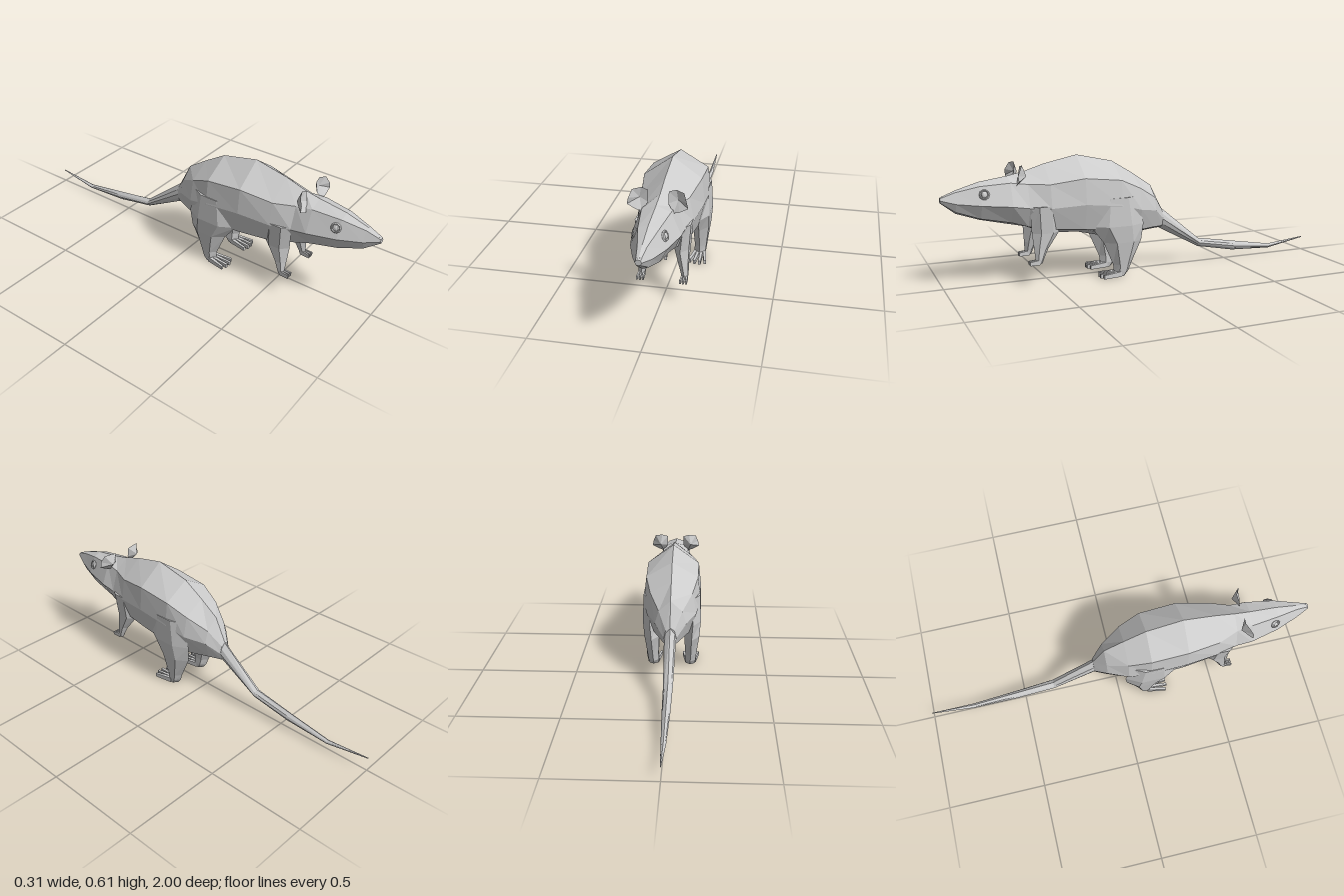
import * as THREE from 'three';

const material = new THREE.MeshStandardMaterial({ color: 0xcccccc, flatShading: true });

function addMesh(parent, geometry, name) {
  const mesh = new THREE.Mesh(geometry, material);
  mesh.name = name;
  parent.add(mesh);
  return mesh;
}

function facetGeometry(points, index) {
  const g = new THREE.BufferGeometry();
  g.setAttribute('position', new THREE.Float32BufferAttribute(points.flat(), 3));
  g.setIndex(index);
  const flat = g.toNonIndexed();
  flat.computeVertexNormals();
  return flat;
}

// Skin over rings of points, each ring running clockwise seen from the first end; both ends capped
function loft(rings) {
  const n = rings[0].length, last = (rings.length - 1) * n, index = [];
  for (let i = 0; i < rings.length - 1; i++) {
    for (let j = 0; j < n; j++) {
      const k = (j + 1) % n, a = i * n + j, b = i * n + k;
      index.push(a, b, b + n, a, b + n, a + n);
    }
  }
  for (let j = 1; j < n - 1; j++) index.push(0, j + 1, j, last, last + j, last + j + 1);
  return facetGeometry(rings.flat(), index);
}

// Symmetric body section: ridge height, three side points, underside height
function bodyRing([z, top, xa, ya, xb, yb, xc, yc, bottom]) {
  const side = [[xa, ya, z], [xb, yb, z], [xc, yc, z]];
  const other = side.map(([x, y]) => [-x, y, z]).reverse();
  return [[0, top, z], ...side, [0, bottom, z], ...other];
}

// Six-sided leg section from its extents in x and z
function legRing([y, x0, x1, z0, z1], s) {
  const m = (x0 + x1) / 2, za = z0 + (z1 - z0) * 0.28, zb = z0 + (z1 - z0) * 0.72;
  const ring = [[m, z0], [x1, za], [x1, zb], [m, z1], [x0, zb], [x0, za]].map(([x, z]) => [s * x, y, z]);
  return s > 0 ? ring : ring.reverse();
}

const leg = (rows, s) => loft(rows.map((r) => legRing(r, s)));

// Tapered toe running forward from its heel point, fanned out by an angle
function addToe(parent, s, x, y, z, length, width, height, angle) {
  const g = new THREE.BoxGeometry(width, height, length);
  g.translate(0, height / 2, length / 2);
  const p = g.attributes.position;
  for (let i = 0; i < p.count; i++) {
    if (p.getZ(i) > length / 2) {
      p.setX(i, p.getX(i) * 0.75);
      p.setY(i, p.getY(i) * 0.75);
    }
  }
  g.computeVertexNormals();
  const toe = addMesh(parent, g, 'toe');
  toe.position.set(s * x, y, z);
  toe.rotation.y = s * angle;
}

function makeEar(s) {
  // Rim of the cup, then its hollow and its back
  const rim = [
    [0.07, 0.478, 0.655], [0.044, 0.515, 0.64], [0.045, 0.568, 0.632], [0.077, 0.577, 0.628],
    [0.114, 0.57, 0.643], [0.128, 0.535, 0.66], [0.134, 0.506, 0.658], [0.095, 0.485, 0.66],
  ];
  const points = [...rim, [0.085, 0.53, 0.628], [0.086, 0.525, 0.61]].map(([x, y, z]) => [s * x, y, z]);
  const index = [];
  for (let j = 0; j < 8; j++) {
    const k = (j + 1) % 8;
    if (s > 0) index.push(8, k, j, 9, j, k);
    else index.push(8, j, k, 9, k, j);
  }
  return facetGeometry(points, index);
}

export function createModel() {
  const model = new THREE.Group();
  model.name = 'rodent';

  // Head and trunk, muzzle to rump
  const trunk = [
    [0.998, 0.438, 0.01, 0.435, 0.014, 0.425, 0.009, 0.414, 0.412],
    [0.93, 0.466, 0.02, 0.46, 0.042, 0.408, 0.025, 0.368, 0.358],
    [0.82, 0.5, 0.045, 0.485, 0.08, 0.398, 0.045, 0.332, 0.32],
    [0.68, 0.521, 0.065, 0.495, 0.109, 0.388, 0.058, 0.305, 0.288],
    [0.6, 0.538, 0.072, 0.485, 0.108, 0.375, 0.065, 0.28, 0.27],
    [0.5, 0.57, 0.11, 0.482, 0.13, 0.37, 0.1, 0.265, 0.23],
    [0.335, 0.605, 0.137, 0.505, 0.15, 0.38, 0.118, 0.255, 0.22],
    [0.15, 0.565, 0.135, 0.485, 0.15, 0.36, 0.12, 0.235, 0.175],
    [0.04, 0.498, 0.108, 0.435, 0.13, 0.33, 0.09, 0.22, 0.19],
    [-0.06, 0.43, 0.06, 0.375, 0.08, 0.31, 0.05, 0.22, 0.2],
    [-0.12, 0.31, 0.022, 0.295, 0.032, 0.255, 0.02, 0.215, 0.205],
  ];
  addMesh(model, loft(trunk.map(bodyRing)), 'body');

  // Tail: z, top, bottom, half width
  const tail = [
    [-0.11, 0.315, 0.203, 0.031], [-0.34, 0.125, 0.08, 0.024], [-0.55, 0.09, 0.04, 0.02],
    [-0.78, 0.052, 0.029, 0.012], [-1, 0.074, 0.068, 0.002],
  ].map(([z, t, b, w]) => {
    const m = (t + b) / 2, q = (t - b) / 4;
    return bodyRing([z, t, w * 0.75, m + q, w, m, w * 0.75, m - q, b]);
  });
  addMesh(model, loft(tail), 'tail');

  // Nose tip
  const nose = addMesh(model, new THREE.IcosahedronGeometry(0.014, 0), 'nose');
  nose.position.set(0, 0.43, 0.986);

  for (const s of [1, -1]) {
    const side = s > 0 ? 'left' : 'right';
    addMesh(model, makeEar(s), side + 'Ear');

    // Eye: ball within a raised lid ring
    const eye = new THREE.Group();
    eye.name = side + 'Eye';
    eye.position.set(s * 0.066, 0.449, 0.805);
    eye.lookAt(s * 1.066, 0.8, 1.06);
    addMesh(eye, new THREE.TorusGeometry(0.02, 0.005, 4, 10), 'eyelid');
    addMesh(eye, new THREE.SphereGeometry(0.016, 8, 6), 'eyeball').scale.z = 0.6;
    model.add(eye);

    // Front leg with three-toed paw
    const front = new THREE.Group();
    front.name = side + 'FrontLeg';
    addMesh(front, leg([
      [0.38, 0.07, 0.128, 0.46, 0.6], [0.25, 0.05, 0.116, 0.455, 0.59],
      [0.17, 0.072, 0.114, 0.515, 0.583], [0.125, 0.084, 0.115, 0.538, 0.58], [0.105, 0.086, 0.113, 0.545, 0.585],
    ], s), 'limb');
    for (const t of [-1, 0, 1]) addToe(front, s, 0.1 + t * 0.01, 0.1, 0.56, 0.05, 0.009, 0.024, t * 0.08);
    model.add(front);

    // Hind leg with thigh, heel and four fanned toes
    const hind = new THREE.Group();
    hind.name = side + 'HindLeg';
    addMesh(hind, leg([
      [0.4, 0.09, 0.148, 0.06, 0.27], [0.26, 0.07, 0.153, 0.025, 0.3], [0.175, 0.066, 0.145, 0.035, 0.235],
      [0.06, 0.072, 0.13, 0.088, 0.185], [0.025, 0.07, 0.126, 0.1, 0.18], [0, 0.074, 0.122, 0.12, 0.18],
    ], s), 'limb');
    for (let t = 0; t < 4; t++) {
      const u = t - 1.5;
      addToe(hind, s, 0.099 + u * 0.014, 0, 0.15, 0.11 - Math.abs(u) * 0.008, 0.016, 0.026, u * 0.12);
    }
    model.add(hind);
  }
  return model;
}
